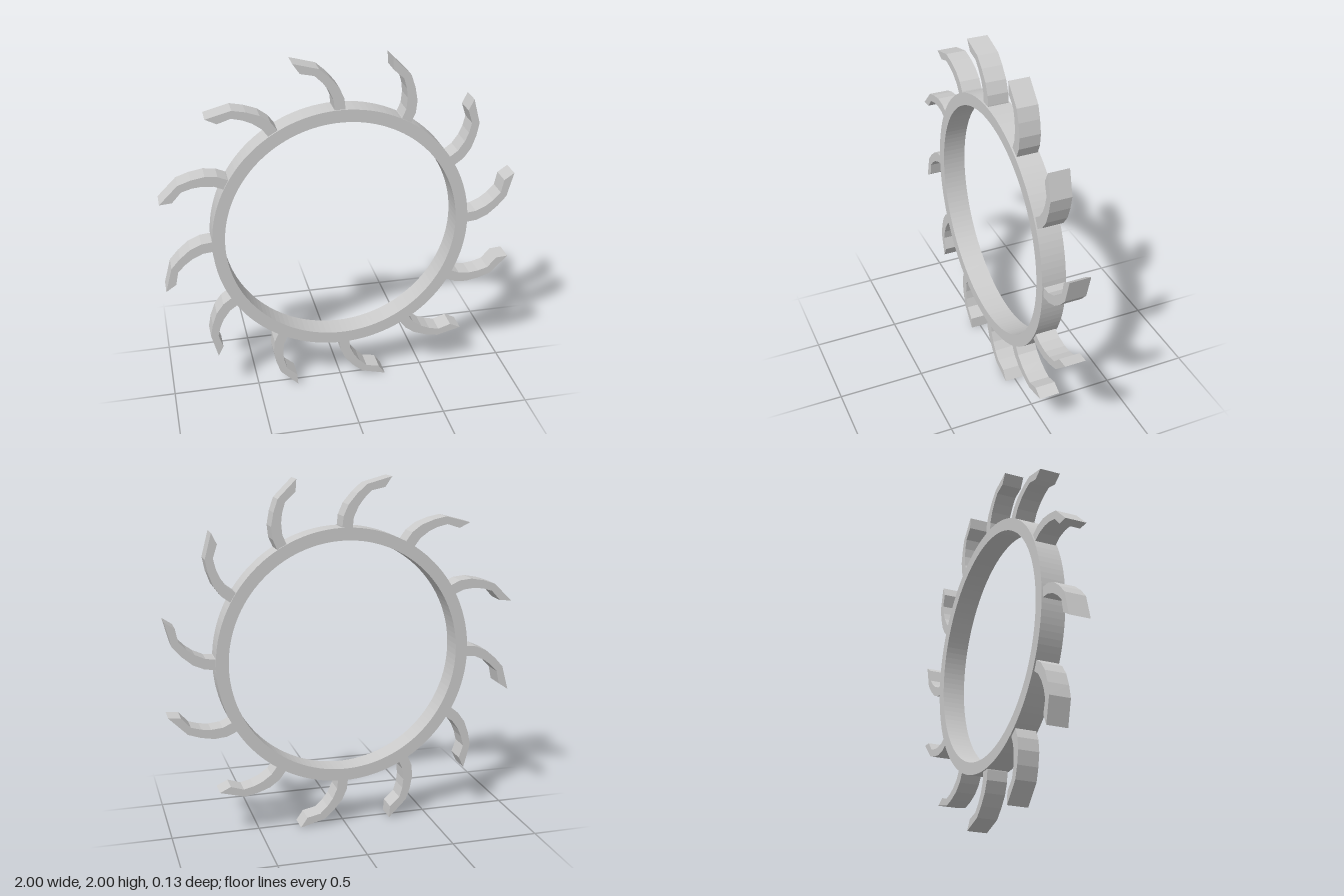
import * as THREE from 'three';

const material = new THREE.MeshStandardMaterial({ color: 0xcccccc, flatShading: true });

// Extrude a shape so that it is centred on z = 0
function slab(shape, depth, curveSegments) {
  const geometry = new THREE.ExtrudeGeometry(shape, { depth, bevelEnabled: false, curveSegments });
  return geometry.translate(0, 0, -depth / 2);
}

export function createModel() {
  const model = new THREE.Group();
  model.name = 'bladedRing';
  const wheel = new THREE.Group();
  wheel.name = 'wheel';
  wheel.position.y = 1;
  model.add(wheel);

  // Flat ring band
  const band = new THREE.Shape().absarc(0, 0, 0.73, 0, Math.PI * 2, false);
  band.holes.push(new THREE.Path().absarc(0, 0, 0.66, 0, Math.PI * 2, true));
  const ring = new THREE.Mesh(slab(band, 0.134, 64), material);
  ring.name = 'ring';
  wheel.add(ring);

  // Curved arm: outer edge out to the pointed tip, then back along the inner edge
  const profile = [
    [0.70, -0.016], [0.735, -0.016], [0.79, -0.010], [0.853, 0.018], [0.912, 0.068], [0.961, 0.124], [0.999, 0.265],
    [0.942, 0.226], [0.926, 0.15], [0.885, 0.107], [0.842, 0.075], [0.783, 0.048], [0.735, 0.043], [0.70, 0.043],
  ];
  const armGeometry = slab(new THREE.Shape(profile.map(([x, y]) => new THREE.Vector2(x, y))), 0.117, 1);

  // Twelve arms evenly spaced round the ring
  const count = 12;
  for (let i = 0; i < count; i++) {
    const arm = new THREE.Mesh(armGeometry, material);
    arm.name = `curvedArm${i + 1}`;
    arm.rotation.z = (i / count) * Math.PI * 2;
    wheel.add(arm);
  }
  return model;
}
